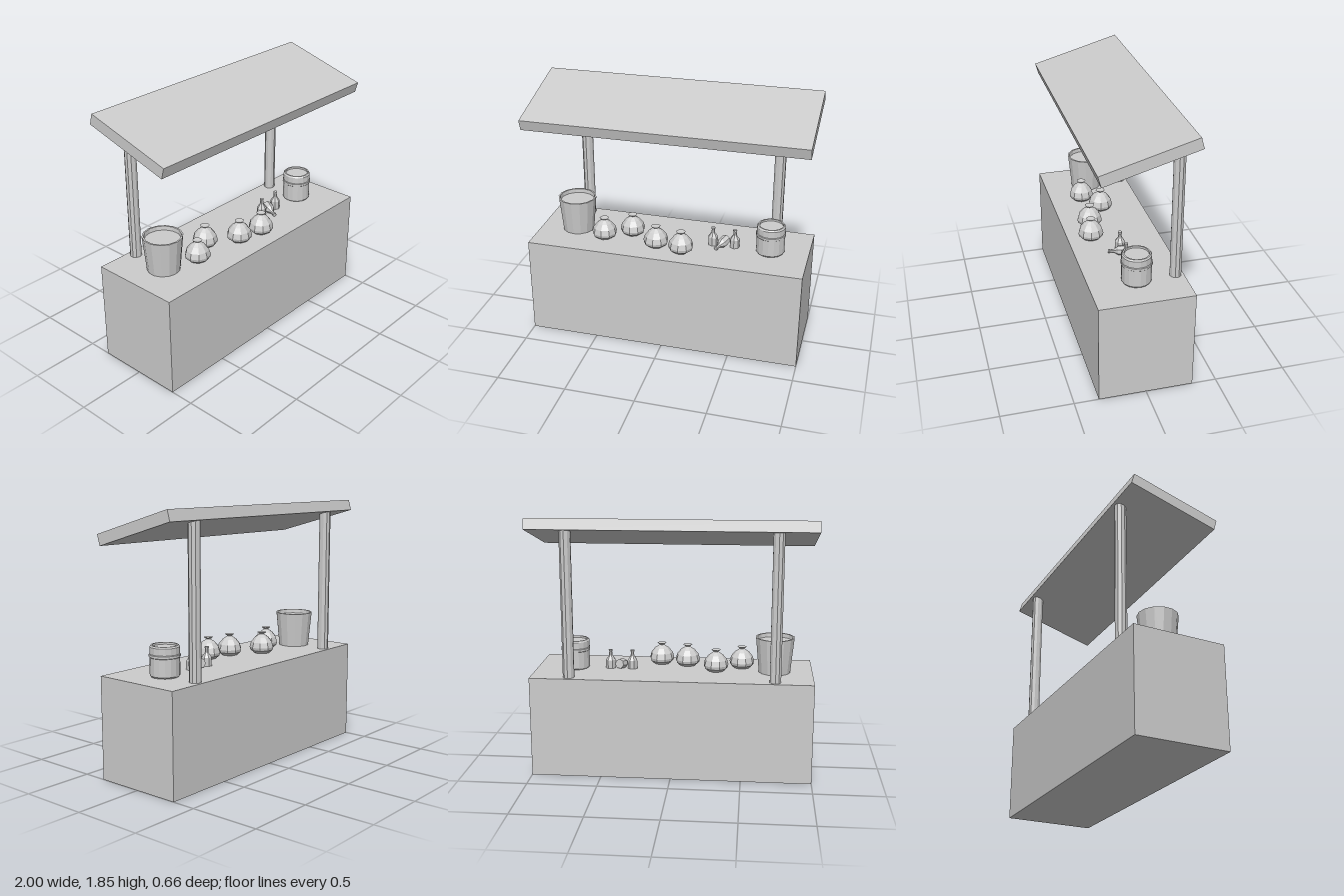
import * as THREE from 'three';

const grey = new THREE.MeshStandardMaterial({ color: 0xcccccc, flatShading: true });
const TOP = 0.725; // counter height

function add(parent, name, geometry, x, y, z) {
  const mesh = new THREE.Mesh(geometry, grey);
  mesh.name = name;
  mesh.position.set(x, y, z);
  parent.add(mesh);
  return mesh;
}

// Faceted turned form; profile is [radius, height] from bottom to top
function turned(profile, sides) {
  return new THREE.LatheGeometry(profile.map(([r, y]) => new THREE.Vector2(r, y)), sides);
}

export function createModel() {
  const model = new THREE.Group();
  model.name = 'marketStall';

  // Counter block and sloping roof slab
  add(model, 'counter', new THREE.BoxGeometry(2, TOP, 0.66), 0, TOP / 2, 0);
  const roof = add(model, 'roof', new THREE.BoxGeometry(2, 0.079, 0.66), 0, 1.722, 0);
  roof.rotation.x = 0.276;

  // Rear posts
  for (const x of [-0.73, 0.725]) {
    add(model, 'post', new THREE.CylinderGeometry(0.041, 0.041, 1.045, 10), x, TOP + 0.5225, -0.273);
  }

  // Tapered bucket with a recessed fill
  add(model, 'bucket', turned([
    [0, 0], [0.115, 0], [0.14, 0.257], [0.128, 0.257], [0.125, 0.228], [0, 0.228],
  ], 14), -0.727, TOP, 0.002);

  // Keg with a raised band and a recessed top
  add(model, 'keg', turned([
    [0, 0], [0.095, 0], [0.102, 0.01], [0.102, 0.132], [0.107, 0.136], [0.107, 0.152],
    [0.102, 0.156], [0.102, 0.203], [0.094, 0.214], [0.084, 0.214], [0.084, 0.2], [0, 0.2],
  ], 16), 0.724, TOP, 0);

  // Tied sacks
  const sack = turned([
    [0, 0], [0.056, 0], [0.086, 0.024], [0.091, 0.045], [0.08, 0.083], [0.052, 0.118],
    [0.016, 0.142], [0.034, 0.156], [0, 0.15],
  ], 9);
  for (const [x, z] of [[-0.49, 0.095], [-0.305, -0.01], [-0.09, 0.125], [0.105, 0.162]]) {
    add(model, 'sack', sack, x, TOP, z);
  }

  // Two standing bottles and one lying on its side
  const bottle = turned([
    [0, 0], [0.036, 0], [0.036, 0.062], [0.014, 0.095], [0.011, 0.124], [0.015, 0.126],
    [0.015, 0.137], [0, 0.137],
  ], 7);
  add(model, 'bottle', bottle, 0.305, TOP, 0);
  add(model, 'bottle', bottle, 0.465, TOP, 0);
  const lying = add(model, 'lyingBottle', bottle, 0.398, TOP + 0.037, -0.03);
  const axis = new THREE.Vector3(-0.05, -0.02, 0.12).normalize();
  lying.quaternion.setFromUnitVectors(new THREE.Vector3(0, 1, 0), axis);

  return model;
}
